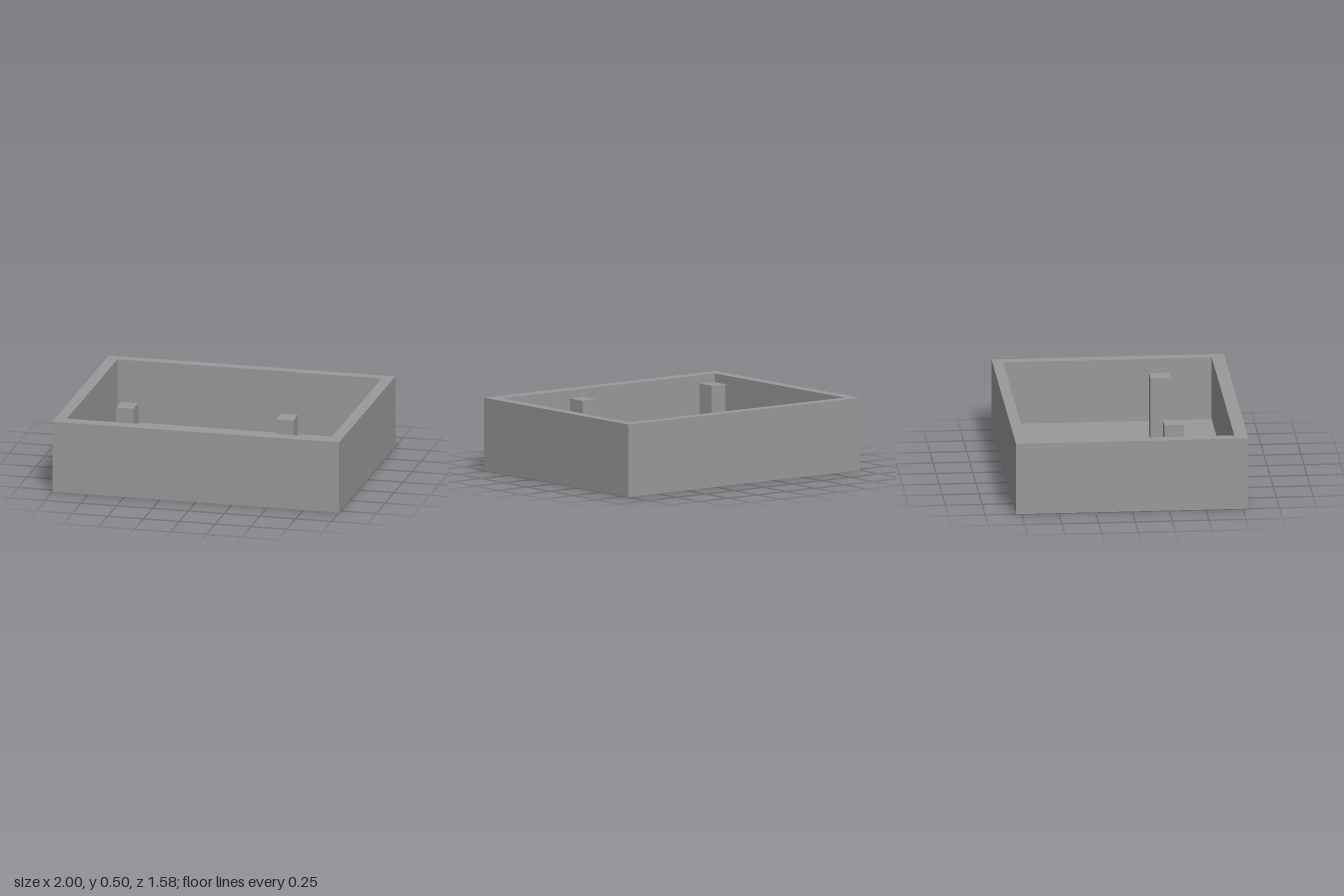
import * as THREE from 'three';

export function createModel() {
  const group = new THREE.Group();
  const grey = new THREE.MeshStandardMaterial({ color: 0x999999 });
  grey.name = 'plain grey';

  const height = 0.497, floorTop = 0.06;
  const outer = { x: 1, back: -0.79, front: 0.79 };
  const inner = { x: 0.922, back: -0.717, front: 0.70 };

  // Rectangle in plan; shape y is -z so the extrusion can be laid flat
  const trace = (path, r) => {
    path.moveTo(-r.x, -r.front);
    path.lineTo(r.x, -r.front);
    path.lineTo(r.x, -r.back);
    path.lineTo(-r.x, -r.back);
    path.closePath();
    return path;
  };
  const slab = (name, shape, y0, y1) => {
    const geo = new THREE.ExtrudeGeometry(shape, { depth: y1 - y0, bevelEnabled: false });
    geo.rotateX(-Math.PI / 2).translate(0, y0, 0);
    const mesh = new THREE.Mesh(geo, grey);
    mesh.name = name;
    group.add(mesh);
  };

  // Tray walls: one continuous rim with a rectangular opening
  const rim = trace(new THREE.Shape(), outer);
  rim.holes.push(trace(new THREE.Path(), inner));
  slab('walls', rim, floorTop, height);

  // Solid floor
  slab('floor', trace(new THREE.Shape(), outer), 0, floorTop);

  // Two square posts, just taller than the rim
  const postTop = 0.5;
  for (const [name, x] of [['rightPost', -0.597], ['leftPost', 0.519]]) {
    const post = new THREE.Mesh(new THREE.BoxGeometry(0.12, postTop - floorTop, 0.135), grey);
    post.position.set(x, (postTop + floorTop) / 2, 0.314);
    post.name = name;
    group.add(post);
  }

  return group;
}
